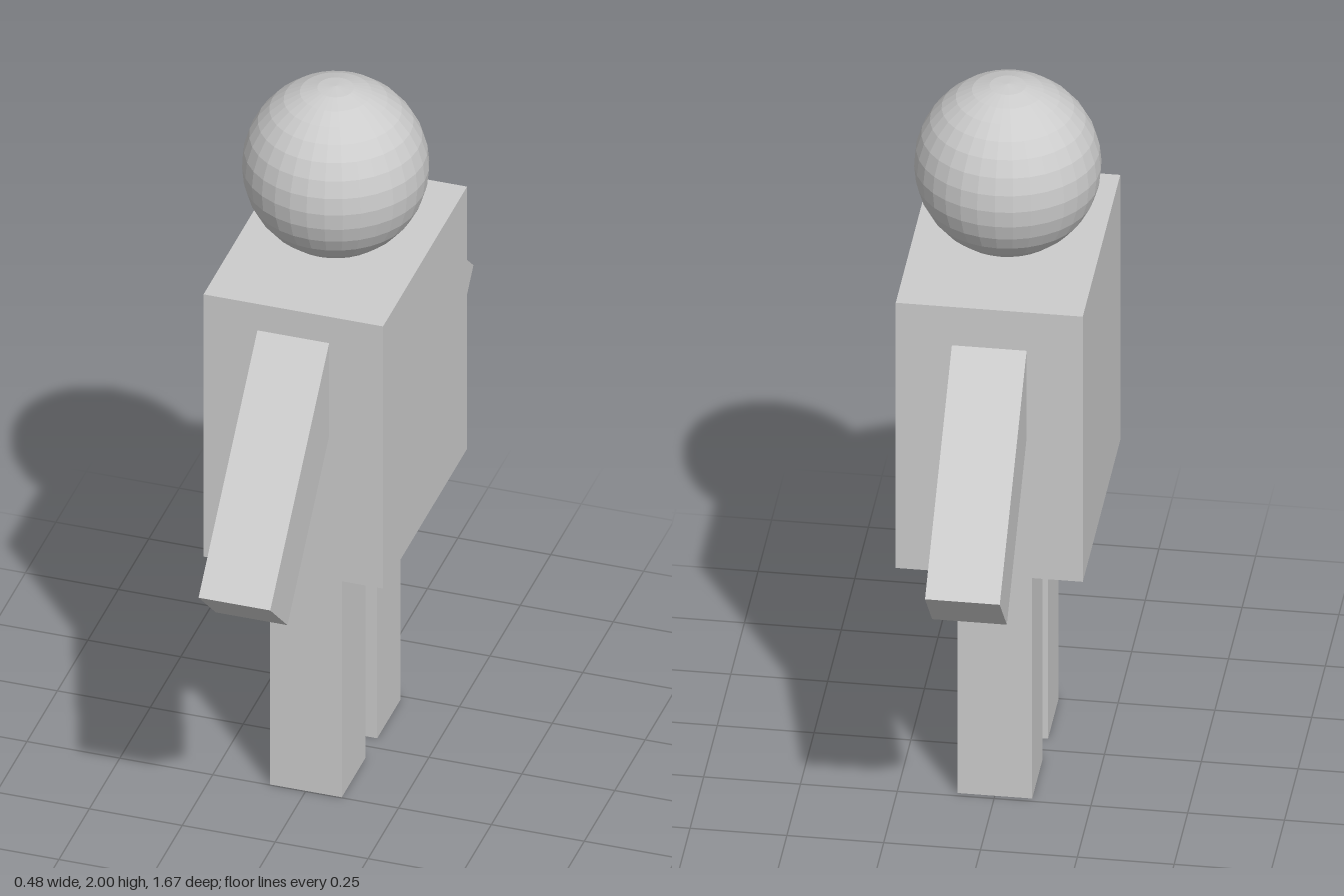
import * as THREE from 'three';

export function createModel() {
  const model = new THREE.Group();
  const grey = new THREE.MeshStandardMaterial({ color: 0xcccccc, flatShading: true });
  grey.name = 'light grey';

  function add(name, geometry, x, y, z) {
    const mesh = new THREE.Mesh(geometry, grey);
    mesh.name = name;
    mesh.position.set(x, y, z);
    model.add(mesh);
    return mesh;
  }

  // Head and body
  add('head', new THREE.SphereGeometry(0.24, 32, 16), 0, 1.76, 0.003);
  add('torso', new THREE.BoxGeometry(0.483, 0.8, 0.69), 0, 1.13, 0.006);

  // Legs, one towards the front and one towards the back
  const limb = 0.193;
  for (const [name, z] of [['frontLeg', 0.151], ['backLeg', -0.14]]) {
    add(name, new THREE.BoxGeometry(limb, 0.73, limb), 0, 0.365, z);
  }

  // Arms slope down from inside the torso to the centre of the hand end
  const length = 0.73;
  function addArm(name, handY, handZ, degrees) {
    const a = THREE.MathUtils.degToRad(degrees);
    const side = Math.sign(handZ);
    const arm = add(name, new THREE.BoxGeometry(limb, limb, length), 0,
      handY + Math.sin(a) * length / 2,
      handZ - side * Math.cos(a) * length / 2);
    arm.rotation.x = side * a;
  }
  addArm('frontArm', 0.867, 0.764, 46.9);
  addArm('backArm', 0.884, -0.768, 42.9);

  return model;
}
